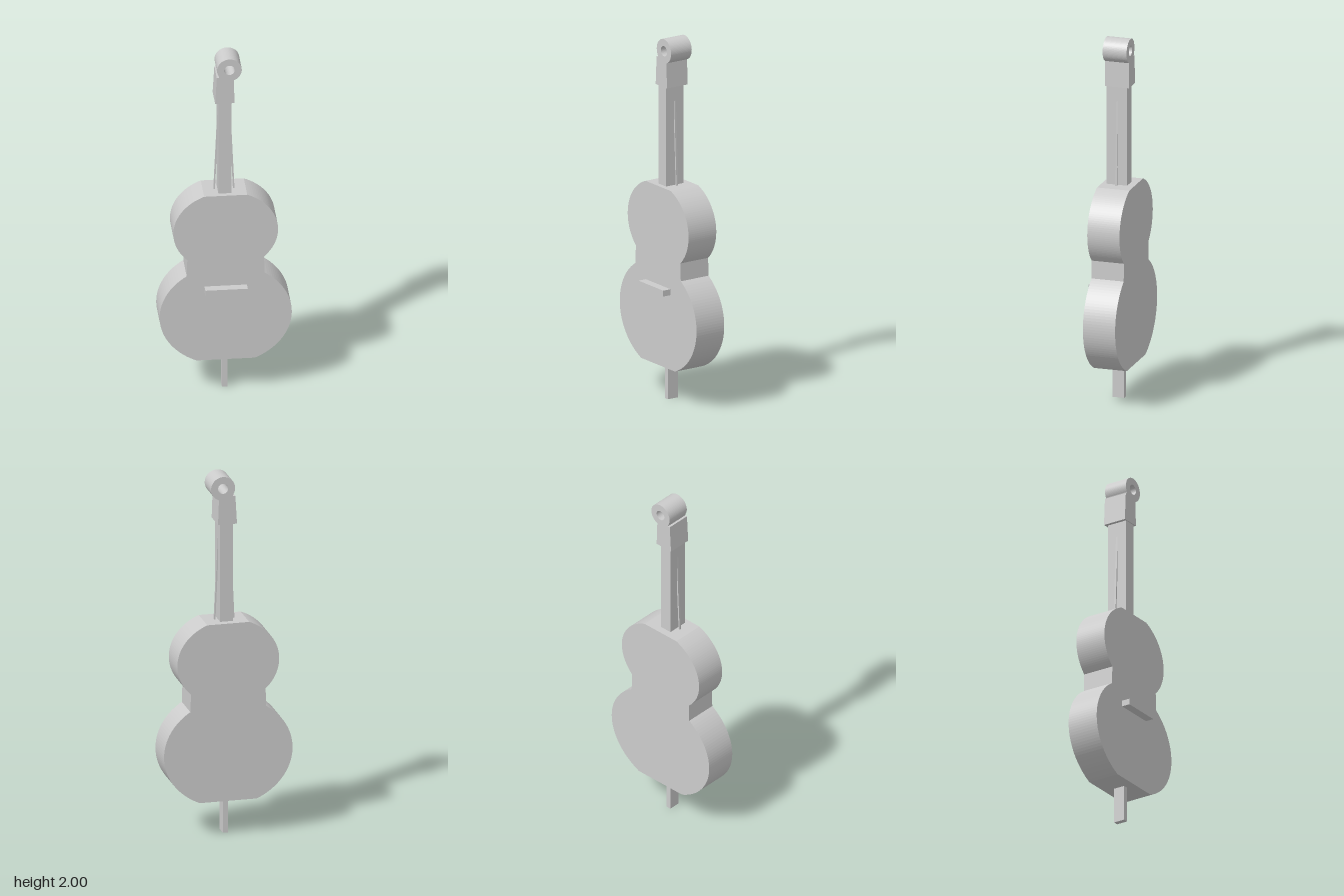
import * as THREE from 'three';

const material = new THREE.MeshStandardMaterial({ color: 0xcccccc });

export function createModel() {
  const model = new THREE.Group();
  model.name = 'stringInstrument';

  const add = (name, geometry) => {
    const mesh = new THREE.Mesh(geometry, material);
    mesh.name = name;
    model.add(mesh);
    return mesh;
  };
  // Box given by its limits on each axis
  const box = (name, [x0, x1], [y0, y1], [z0, z1]) => {
    const mesh = add(name, new THREE.BoxGeometry(x1 - x0, y1 - y0, z1 - z0));
    mesh.position.set((x0 + x1) / 2, (y0 + y1) / 2, (z0 + z1) / 2);
    return mesh;
  };
  // Flat outline extruded from z0 to z1
  const slab = (name, shape, z0, z1, curveSegments) => {
    const geometry = new THREE.ExtrudeGeometry(shape, { depth: z1 - z0, bevelEnabled: false, curveSegments });
    return add(name, geometry.translate(0, 0, z0));
  };

  // Body: two truncated ellipses joined by a straight waist
  const lower = { y: 0.467, a: 0.352, b: 0.301, from: 0.197, to: 0.71 };
  const upper = { y: 0.97, a: 0.279, b: 0.238, from: 0.808, to: 1.187 };
  const bout = ({ y, a, b, from, to }) => {
    const t0 = Math.asin((from - y) / b), t1 = Math.asin((to - y) / b), n = 40;
    return Array.from({ length: n + 1 }, (_, i) => {
      const t = t0 + (t1 - t0) * i / n;
      return new THREE.Vector2(a * Math.cos(t), y + b * Math.sin(t));
    });
  };
  const rightSide = [...bout(lower), ...bout(upper)];
  const leftSide = rightSide.map(p => new THREE.Vector2(-p.x, p.y)).reverse();
  slab('body', new THREE.Shape([...rightSide, ...leftSide]), -0.115, 0.065, 1);

  box('bridge', [-0.113, 0.113], [0.61, 0.643], [0.06, 0.112]);
  box('endPin', [-0.014, 0.014], [0, 0.2], [-0.053, 0.011]);
  box('neck', [-0.036, 0.034], [1.18, 1.74], [-0.076, 0.038]);

  // Head: tapered block running into a pierced round scroll
  const cx = 0.022, cy = 1.934, r = 0.066;
  const startAngle = Math.atan2(1.873 - cy, 0.045 - cx);
  const endAngle = Math.PI + Math.asin((cy - 1.9) / r);
  const head = new THREE.Shape();
  head.moveTo(-0.054, 1.734);
  head.lineTo(0.05, 1.734);
  head.lineTo(0.045, 1.873);
  head.absarc(cx, cy, r, startAngle, endAngle, false);
  head.lineTo(-0.032, 1.89);
  head.lineTo(-0.045, 1.89);
  const hole = new THREE.Path();
  hole.absarc(cx, cy, 0.028, 0, Math.PI * 2, true);
  head.holes.push(hole);
  slab('scroll', head, -0.091, 0.043, 24);

  // Thin strings leaning into the sides of the neck
  for (const side of [-1, 1]) {
    const string = add(side < 0 ? 'rightString' : 'leftString', new THREE.BoxGeometry(0.008, 0.5, 0.011));
    string.position.set(side * 0.0415 - 0.001, 1.42, -0.021);
    string.rotation.z = side * 0.045;
  }

  return model;
}
